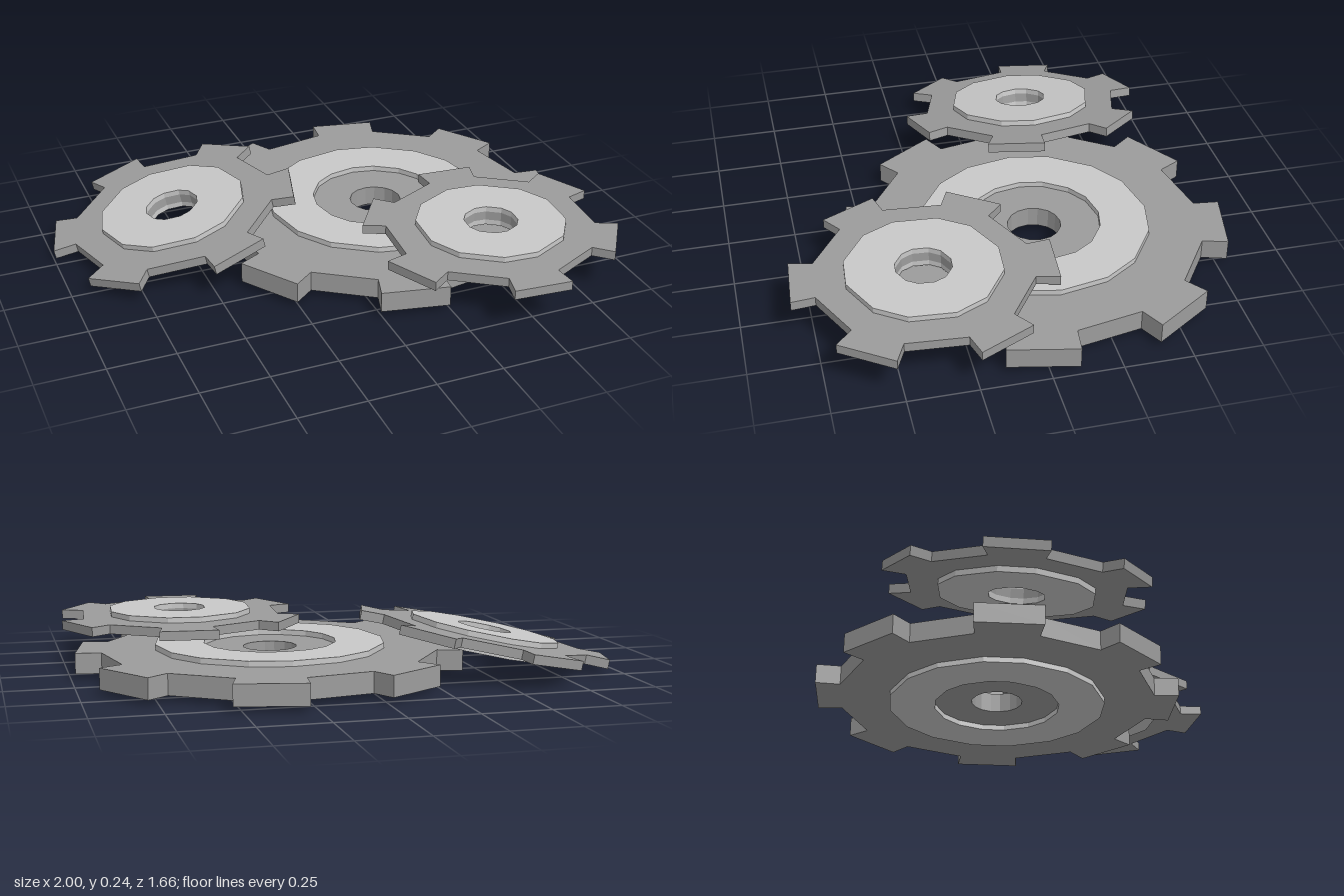
import * as THREE from 'three';

const gearGrey = new THREE.MeshStandardMaterial({ color: 0x9c9c9c });
gearGrey.name = 'mid grey';
const hubGrey = new THREE.MeshStandardMaterial({ color: 0xc8c8c8 });
hubGrey.name = 'light grey';

const polar = (r, a) => new THREE.Vector2(r * Math.cos(a), r * Math.sin(a));

// Two corner angles per tooth, shared by teeth, hub and bore
function toothAngles({ teeth, start, half }) {
  const angles = [];
  for (let i = 0; i < teeth; i++) {
    const mid = THREE.MathUtils.degToRad(start + i * 360 / teeth);
    const h = THREE.MathUtils.degToRad(half);
    angles.push(mid - h, mid + h);
  }
  return angles;
}

// Flat slab between two heights, with a hole through it
function slab(outline, hole, y0, y1, material, name) {
  const shape = new THREE.Shape(outline);
  shape.holes.push(new THREE.Path(hole));
  const geometry = new THREE.ExtrudeGeometry(shape, { depth: y1 - y0, bevelEnabled: false });
  geometry.rotateX(-Math.PI / 2);
  geometry.translate(0, y0, 0);
  const mesh = new THREE.Mesh(geometry, material);
  mesh.name = name;
  return mesh;
}

function makeGear(p) {
  const gear = new THREE.Group();
  gear.name = p.name;
  const angles = toothAngles(p);
  const ring = r => angles.map(a => polar(r, a));

  // Toothed plate: root, tip, tip, root for every tooth
  const outline = [];
  const flare = THREE.MathUtils.degToRad(0.8);
  for (let i = 0; i < angles.length; i += 2) {
    const [a, b] = [angles[i], angles[i + 1]];
    outline.push(polar(p.root, a - flare), polar(p.tip, a), polar(p.tip, b), polar(p.root, b + flare));
  }
  const t = p.thickness / 2;
  gear.add(slab(outline, ring(p.bore), -t, t, gearGrey, 'toothedPlate'));

  // Raised hub on both faces
  gear.add(slab(ring(p.hub), ring(p.hubHole), t, p.hubHeight / 2, hubGrey, 'upperHub'));
  gear.add(slab(ring(p.hub), ring(p.hubHole), -p.hubHeight / 2, -t, hubGrey, 'lowerHub'));

  gear.position.set(...p.position);
  gear.rotation.z = p.tilt || 0;
  return gear;
}

export function createModel() {
  const model = new THREE.Group();
  model.name = 'gearCluster';

  model.add(makeGear({
    name: 'largeGear', teeth: 8, start: 78.3, half: 10.2, tip: 0.72, root: 0.625,
    bore: 0.1, hub: 0.428, hubHole: 0.247, thickness: 0.077, hubHeight: 0.118,
    position: [0.265, 0.059, -0.12],
  }));

  // Two matching small gears, one lying flat and one tilted
  const small = {
    teeth: 6, half: 13.2, tip: 0.482, root: 0.395,
    bore: 0.102, hub: 0.284, hubHole: 0.102, thickness: 0.035, hubHeight: 0.076,
  };
  model.add(makeGear({ ...small, name: 'frontSmallGear', start: 85.8, position: [0.532, 0.148, 0.349] }));
  model.add(makeGear({
    ...small, name: 'tiltedSmallGear', start: 44.5, tilt: 0.203, position: [-0.525, 0.122, -0.263],
  }));
  return model;
}
